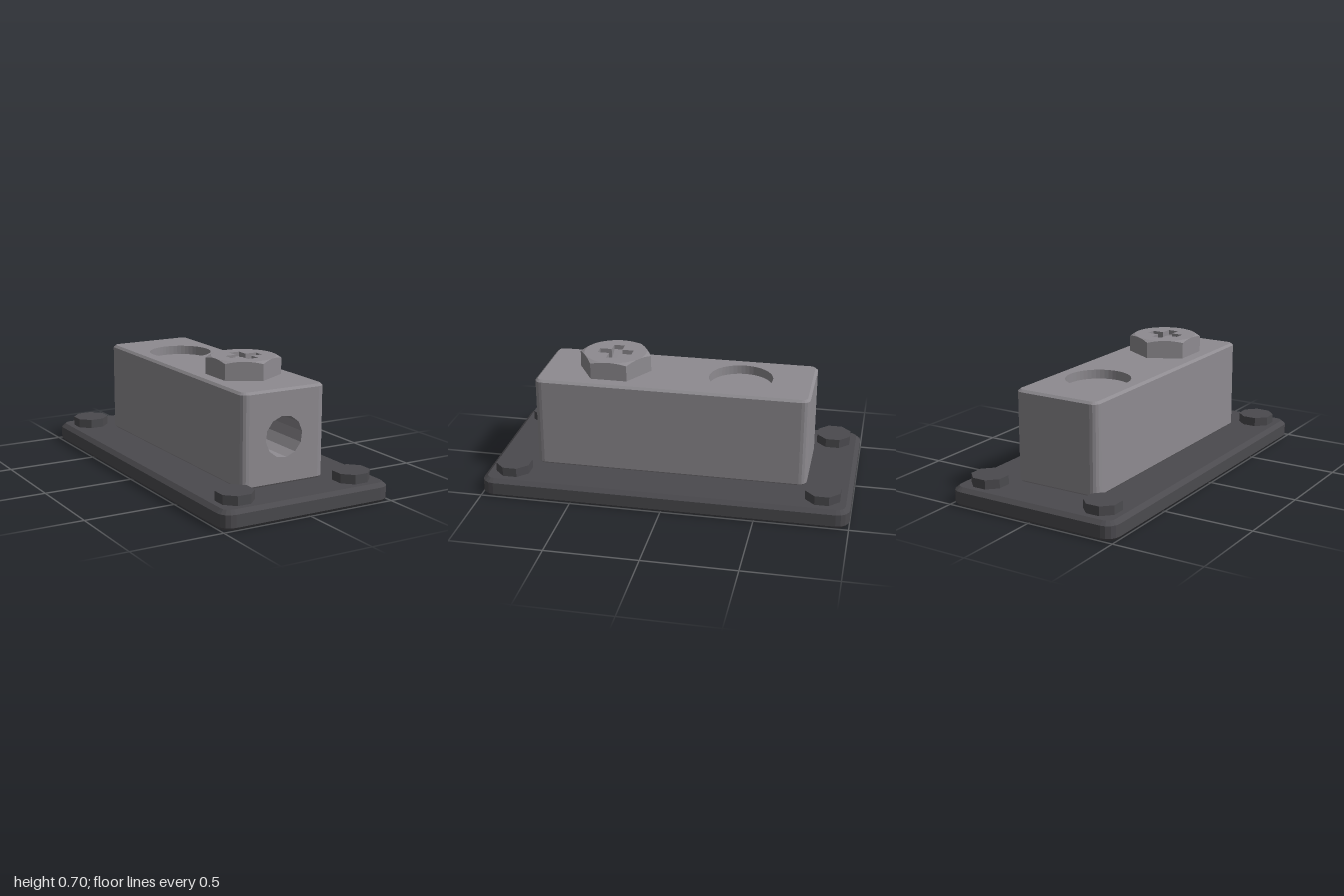
import * as THREE from 'three';
import { mergeGeometries } from 'three/addons/utils/BufferGeometryUtils.js';

const V = (x, y, z) => new THREE.Vector3(x, y, z);

// Flat-shaded geometry from a list of four-cornered faces
function quads(list) {
  const pts = list.flatMap(([a, b, c, d]) => [a, b, c, a, c, d]);
  const g = new THREE.BufferGeometry().setFromPoints(pts);
  g.computeVertexNormals();
  return g;
}

// Walls between stacked closed rings; skip(level, side) leaves an opening
function loft(rings, skip = () => false) {
  const faces = [];
  for (let l = 0; l < rings.length - 1; l++) {
    const lo = rings[l], hi = rings[l + 1], n = lo.length;
    for (let i = 0; i < n; i++) {
      const j = (i + 1) % n;
      if (!skip(l, i)) faces.push([lo[i], hi[i], hi[j], lo[j]]);
    }
  }
  return quads(faces);
}

// Horizontal flat cap over a ring, with optional hole rings
function cap(ring, up = true, holes = []) {
  const s = up ? -1 : 1;
  const to2 = (r) => r.map((p) => new THREE.Vector2(p.x, s * p.z));
  const shape = new THREE.Shape(to2(ring));
  holes.forEach((h) => shape.holes.push(new THREE.Path(to2(h))));
  return plain(new THREE.ShapeGeometry(shape).rotateX(s * Math.PI / 2).translate(0, ring[0].y, 0));
}

function plain(geometry, flat = false) {
  const g = geometry.index ? geometry.toNonIndexed() : geometry;
  g.deleteAttribute('uv');
  if (flat) g.computeVertexNormals();
  return g;
}

// Rounded rectangle ring, running from +x towards +z
function roundRect(hw, hd, r, inset, y, seg = 4) {
  const pts = [];
  [[1, 1], [-1, 1], [-1, -1], [1, -1]].forEach(([sx, sz], k) => {
    for (let i = 0; i <= seg; i++) {
      const a = (k + i / seg) * Math.PI / 2;
      pts.push(V(sx * (hw - r) + (r - inset) * Math.cos(a), y, sz * (hd - r) + (r - inset) * Math.sin(a)));
    }
  });
  return pts;
}

function circle(radius, n, y, cz) {
  return Array.from({ length: n }, (_, i) => {
    const a = (i / n) * Math.PI * 2;
    return V(radius * Math.cos(a), y, cz + radius * Math.sin(a));
  });
}

export function createModel() {
  const model = new THREE.Group();
  const steel = new THREE.MeshStandardMaterial({ color: 0x8e8b90, side: THREE.DoubleSide });
  const darkMetal = new THREE.MeshStandardMaterial({ color: 0x4b4a4e });
  steel.name = 'steel grey';
  darkMetal.name = 'dark grey metal';
  const add = (name, parts, material, parent = model) => {
    const mesh = new THREE.Mesh(mergeGeometries(parts), material);
    mesh.name = name;
    parent.add(mesh);
    return mesh;
  };

  // Base plate with bevelled rims
  const baseRings = [[0.012, 0], [0, 0.014], [0, 0.08], [0.024, 0.1]]
    .map(([inset, y]) => roundRect(0.5, 1, 0.07, inset, y));
  add('basePlate', [loft(baseRings), cap(baseRings[0], false), cap(baseRings[3])], darkMetal);

  // Octagonal corner bolts
  for (const x of [-0.35, 0.35]) {
    for (const z of [-0.85, 0.85]) {
      const bolt = new THREE.CylinderGeometry(0.1, 0.1, 0.052, 8).rotateY(Math.PI / 8).translate(x, 0.124, z);
      add('cornerBolt', [plain(bolt, true)], darkMetal);
    }
  }

  // Terminal block: walls, front face with cable bore, top with round pocket
  const seg = 4;
  const rings = [[0.01, 0.1], [0, 0.11], [0, 0.588], [0.014, 0.6]]
    .map(([inset, y]) => roundRect(0.25, 0.75, 0.042, inset, y, seg));
  const pocket = circle(0.175, 48, 0.6, -0.35);
  const front = new THREE.Shape();
  front.moveTo(-0.208, 0.11).lineTo(0.208, 0.11).lineTo(0.208, 0.588).lineTo(-0.208, 0.588);
  const bore = Array.from({ length: 12 }, (_, i) => {
    const a = THREE.MathUtils.degToRad(8 + 30 * i);
    return new THREE.Vector2(0.11 * Math.cos(a), 0.35 + 0.11 * Math.sin(a));
  });
  front.holes.push(new THREE.Path(bore));
  add('terminalBlock', [
    loft(rings, (level, side) => level === 1 && side === seg),
    cap(rings[0], false),
    cap(rings[3], true, [pocket]),
    plain(new THREE.ShapeGeometry(front).translate(0, 0, 0.75)),
  ], steel);

  // Cable bore lining and its end wall
  const boreEnd = 0.05;
  const boreWall = quads(bore.map((p, i) => {
    const q = bore[(i + 1) % 12];
    return [V(p.x, p.y, 0.75), V(p.x, p.y, boreEnd), V(q.x, q.y, boreEnd), V(q.x, q.y, 0.75)].reverse();
  }));
  const endWall = plain(new THREE.ShapeGeometry(new THREE.Shape(bore)).translate(0, 0, boreEnd));
  add('cableBore', [boreWall, endWall], steel);

  // Round pocket
  const pocketFloor = circle(0.175, 48, 0.55, -0.35);
  add('topPocket', [loft([pocket, pocketFloor]), cap(pocketFloor)], steel);

  // Clamping screw
  const screw = new THREE.Group();
  screw.name = 'clampingScrew';
  screw.position.z = 0.35;
  model.add(screw);

  // Hexagonal head with a conical top chamfer
  const flat = 0.173, sides = 48;
  const hexRing = (height) => Array.from({ length: sides }, (_, i) => {
    const a = (i / sides) * Math.PI * 2;
    const off = a - Math.round(a / (Math.PI / 3)) * (Math.PI / 3);
    const r = flat / Math.cos(off);
    return V(r * Math.cos(a), height(r), r * Math.sin(a));
  });
  const topRing = circle(flat - 0.001, sides, 0.7, 0);
  const lower = hexRing(() => 0.6), upper = hexRing((r) => 0.7 - (r - flat) * 0.45);

  // Cross recess: vertical walls, arm floors sloping down to the centre
  const w = 0.03, arm = 0.095;
  const cross = (yOuter, yInner) => [0, 1, 2, 3].flatMap((k) =>
    [V(arm, yOuter, -w), V(arm, yOuter, w), V(w, yInner, w)]
      .map((p) => p.applyAxisAngle(V(0, 1, 0), -k * Math.PI / 2)));
  const rim = cross(0.7, 0.7), floor = cross(0.675, 0.635);
  const floorFaces = [[11, 8, 5, 2]];
  for (let k = 0; k < 4; k++) floorFaces.push([3 * k + 2, 3 * k + 1, 3 * k, (3 * k + 11) % 12]);
  add('screwHead', [
    loft([lower, upper, topRing]),
    cap(lower, false),
    cap(topRing, true, [rim]),
  ], steel, screw);
  add('crossRecess', [
    loft([rim, floor]),
    quads(floorFaces.map((f) => f.map((i) => floor[i]))),
  ], steel, screw);

  // Threaded shank: zigzag profile raised by one pitch per turn
  const pitch = 0.021, bottom = 0.302, profile = [];
  for (let i = 0; i <= 28; i++) {
    profile.push(new THREE.Vector2(i % 2 ? 0.095 : 0.08, bottom - pitch + i * pitch / 2));
  }
  const thread = new THREE.LatheGeometry(profile, 32);
  const pos = thread.attributes.position;
  for (let i = 0; i < pos.count; i++) {
    const turn = Math.floor(i / profile.length) / 32;
    pos.setY(i, THREE.MathUtils.clamp(pos.getY(i) + turn * pitch, bottom, 0.6));
  }
  const tip = circle(0.085, 32, bottom, 0);
  add('screwThread', [plain(thread, true), cap(tip, false)], steel, screw);

  return model;
}
